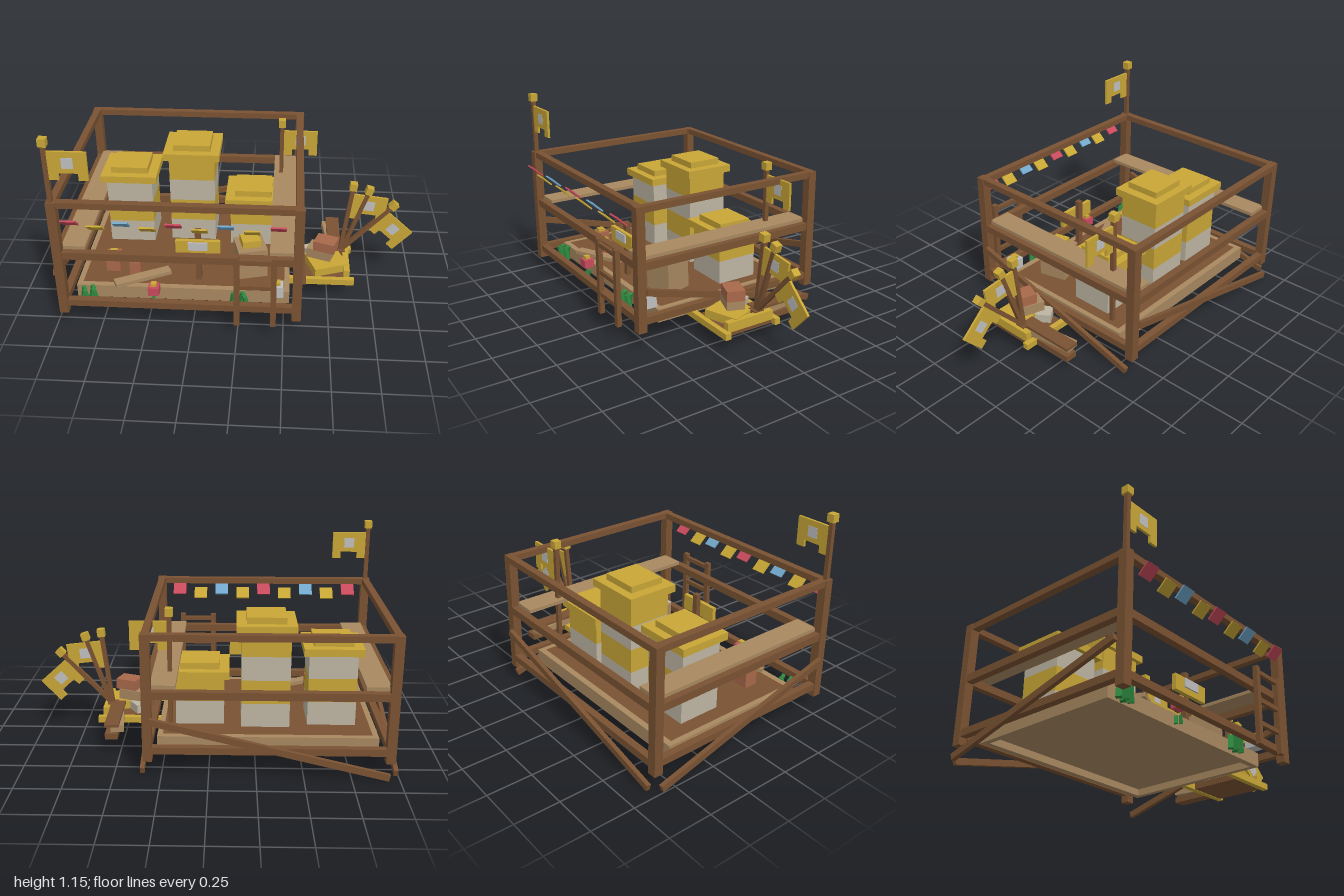
import * as THREE from 'three';

const paint = (name, color) => Object.assign(new THREE.MeshStandardMaterial({ color }), { name });

export function createModel() {
  const model = new THREE.Group();
  model.name = 'marketPlatform';
  const brown = paint('brown wood', 0x7a5232);
  const tan = paint('tan wood', 0xa88860);
  const yellow = paint('yellow', 0xc8a636);
  const stone = paint('pale stone', 0xbdb5a2);
  const silver = paint('silver', 0xbfbfbf);
  const red = paint('red', 0xc84a5c);
  const blue = paint('blue', 0x72a8cc);
  const green = paint('green', 0x2f8a40);
  const brick = paint('brick', 0xa8684a);

  const mesh = (name, geo, mat, parent = model) => {
    const m = new THREE.Mesh(geo, mat);
    m.name = name;
    parent.add(m);
    return m;
  };
  // box given by its limits on each axis
  const box = (name, mat, x0, x1, y0, y1, z0, z1, parent) => {
    const m = mesh(name, new THREE.BoxGeometry(x1 - x0, y1 - y0, z1 - z0), mat, parent);
    m.position.set((x0 + x1) / 2, (y0 + y1) / 2, (z0 + z1) / 2);
    return m;
  };
  // box standing at a point, turned about y
  const block = (name, mat, x, y, z, w, h, d, turn = 0) => {
    const m = box(name, mat, -w / 2, w / 2, 0, h, -d / 2, d / 2);
    m.position.set(x, y + h / 2, z);
    m.rotation.y = turn;
    return m;
  };

  // corner posts and three levels of rails
  for (const x of [-0.95, 0.32])
    for (const z of [0.545, -0.585])
      box('cornerPost', brown, x - 0.025, x + 0.025, 0.09, 0.79, z - 0.025, z + 0.025);
  for (const [y0, y1] of [[0.755, 0.79], [0.44, 0.483], [0.133, 0.172]]) {
    for (const z of [0.54, -0.59]) box('longRail', brown, -0.93, 0.3, y0, y1, z - 0.02, z + 0.02);
    for (const x of [-0.95, 0.32]) box('sideRail', brown, x - 0.02, x + 0.02, y0, y1, -0.565, 0.525);
  }

  // diagonal braces on the back and both sides
  const side = Math.hypot(1.1, 0.305);
  for (const x of [-0.987, 0.352]) {
    const b = mesh('sideBrace', new THREE.BoxGeometry(0.024, 0.036, side), brown);
    b.position.set(x, 0.172, -0.027);
    b.rotation.x = -Math.atan2(0.305, 1.1);
  }
  const back = mesh('backBrace', new THREE.BoxGeometry(1.29, 0.036, 0.024), brown);
  back.position.set(-0.318, 0.172, -0.622);
  back.rotation.z = Math.atan2(0.305, 1.25);

  // deck with its frame, side shelves
  box('deck', brown, -0.88, 0.25, 0.15, 0.168, -0.43, 0.38);
  box('deckUnderside', tan, -0.88, 0.25, 0.13, 0.15, -0.43, 0.38);
  for (const [z0, z1] of [[0.38, 0.415], [-0.465, -0.43]]) box('deckBeam', tan, -0.91, 0.28, 0.09, 0.168, z0, z1);
  for (const [x0, x1] of [[-0.91, -0.88], [0.25, 0.28]]) box('deckEnd', tan, x0, x1, 0.09, 0.168, -0.43, 0.38);
  box('leftShelf', tan, -0.935, -0.807, 0.483, 0.503, -0.57, 0.525);
  box('rightShelf', tan, 0.17, 0.305, 0.483, 0.503, -0.57, 0.525);

  // stacked crates with stepped lids
  for (const [x, z, layers] of [[-0.67, -0.175, 3], [-0.305, -0.21, 4], [0.055, -0.175, 2]]) {
    for (let i = 0; i < layers; i++)
      block('stackLayer', i % 2 ? yellow : stone, x, 0.168 + i * 0.136, z, 0.265, 0.136, 0.245);
    const top = 0.168 + layers * 0.136;
    block('stackLid', yellow, x, top, z, 0.325, 0.042, 0.295);
    block('stackCap', yellow, x, top + 0.042, z, 0.215, 0.036, 0.2);
  }

  // banner pole: origin at the middle of the top cube
  const bannerShape = new THREE.Shape([
    [0.012, -0.05], [0.212, -0.05], [0.212, -0.21], [0.162, -0.21],
    [0.162, -0.17], [0.062, -0.17], [0.062, -0.21], [0.012, -0.21],
  ].map(([x, y]) => new THREE.Vector2(x, y)));
  const bannerGeo = new THREE.ExtrudeGeometry(bannerShape, { depth: 0.014, bevelEnabled: false });
  bannerGeo.translate(0, 0, -0.007);
  const banner = (x, y, z, length, lean = 0, cloth = true) => {
    const g = new THREE.Group();
    g.name = 'bannerPole';
    box('pole', brown, -0.012, 0.012, -length, -0.02, -0.012, 0.012, g);
    box('poleTop', yellow, -0.021, 0.021, -0.022, 0.022, -0.021, 0.021, g);
    if (cloth) {
      mesh('banner', bannerGeo, yellow, g);
      box('bannerPatch', silver, 0.082, 0.142, -0.143, -0.083, -0.0085, 0.0085, g);
    }
    g.position.set(x, y, z);
    g.rotation.z = -lean;
    model.add(g);
  };
  banner(-0.952, 1.128, 0.545, 0.34);
  banner(0.213, 0.832, -0.355, 0.66);
  banner(0.63, 0.605, -0.02, 0.43, 0.12);
  banner(0.722, 0.58, -0.02, 0.42, 0.32, false);
  banner(0.868, 0.485, -0.02, 0.42, 0.74);

  // tilted pennants along the front
  for (let i = 0; i < 9; i++) {
    const p = mesh('pennant', new THREE.BoxGeometry(0.08, 0.009, 0.078), i % 2 ? yellow : i % 4 ? blue : red);
    p.position.set(-0.853 + i * 0.1333, i % 2 ? 0.673 : 0.698, 0.6);
    p.rotation.x = -0.75;
  }

  // ladder
  for (const x of [0, 0.195]) box('ladderRail', brown, x - 0.015, x + 0.015, 0.09, 0.53, 0.598, 0.625);
  for (const y of [0.5, 0.34, 0.21]) box('ladderRung', brown, 0.015, 0.18, y - 0.012, y + 0.012, 0.601, 0.622);

  // signboard
  box('signPost', brown, -0.247, -0.215, 0.168, 0.495, 0.298, 0.328);
  box('signBoard', yellow, -0.353, -0.107, 0.352, 0.442, 0.328, 0.352);
  box('signPlate', silver, -0.283, -0.175, 0.386, 0.436, 0.352, 0.361);

  // goods on the deck
  block('largeCrate', tan, 0.053, 0.168, 0.212, 0.165, 0.177, 0.165, 0.26);
  block('largeCrateTop', yellow, 0.053, 0.345, 0.212, 0.105, 0.042, 0.09, 0.26);
  const goods = [
    [brick, -0.728, 0.235, 0.08, 0.1], [brick, -0.598, 0.27, 0.062, 0.082],
    [red, -0.465, 0.465, 0.06, 0.05], [silver, 0.212, 0.437, 0.07, 0.068],
  ];
  for (const [mat, x, z, w, h] of goods) {
    block('goodsBox', mat, x, 0.168, z, w, h, w);
    block('goodsLid', yellow, x, 0.168 + h, z, w * 0.5, 0.018, w * 0.5);
  }
  block('loosePlank', tan, -0.55, 0.168, 0.335, 0.325, 0.022, 0.06, 0.47);

  // green shoots along the front edge
  for (const [x, z, s] of [[-0.855, 0.455, 1], [-0.81, 0.44, 1], [-0.468, 0.46, 0.55], [-0.02, 0.465, 1], [0.03, 0.455, 1]])
    for (const k of [-1, 1]) {
      const shoot = block('shoot', green, x + k * 0.011 * s, 0.092, z + k * 0.01, 0.02 * s, 0.08 * s, 0.03 * s, 0.5);
      shoot.rotation.z = k * 0.2;
    }

  // side stand with its skids, load and gangplank
  box('standBase', brown, 0.37, 0.62, 0.092, 0.127, -0.095, 0.2);
  for (const z of [-0.11, 0.213]) box('standSkid', yellow, 0.28, 0.65, 0.09, 0.126, z - 0.017, z + 0.017);
  box('standEdge', yellow, 0.59, 0.625, 0.115, 0.17, -0.095, 0.2);
  block('standCrate', yellow, 0.49, 0.127, 0.09, 0.2, 0.048, 0.18, 0.35);
  block('poleSocket', brown, 0.575, 0.127, -0.02, 0.06, 0.05, 0.06);
  block('tanBlock', tan, 0.46, 0.175, 0.053, 0.145, 0.06, 0.1, -0.35);
  block('brickBlock', brick, 0.487, 0.235, 0.07, 0.125, 0.06, 0.1, -0.35);
  block('silverBlock', stone, 0.415, 0.127, -0.02, 0.09, 0.05, 0.09, 0.6);
  block('gangBeam', brown, 0.545, 0.092, -0.22, 0.07, 0.034, 0.27);
  block('gangSupport', tan, 0.53, 0.128, -0.19, 0.075, 0.038, 0.29, 0.12);
  block('gangPlank', brown, 0.542, 0.166, -0.185, 0.08, 0.015, 0.345);
  return model;
}
